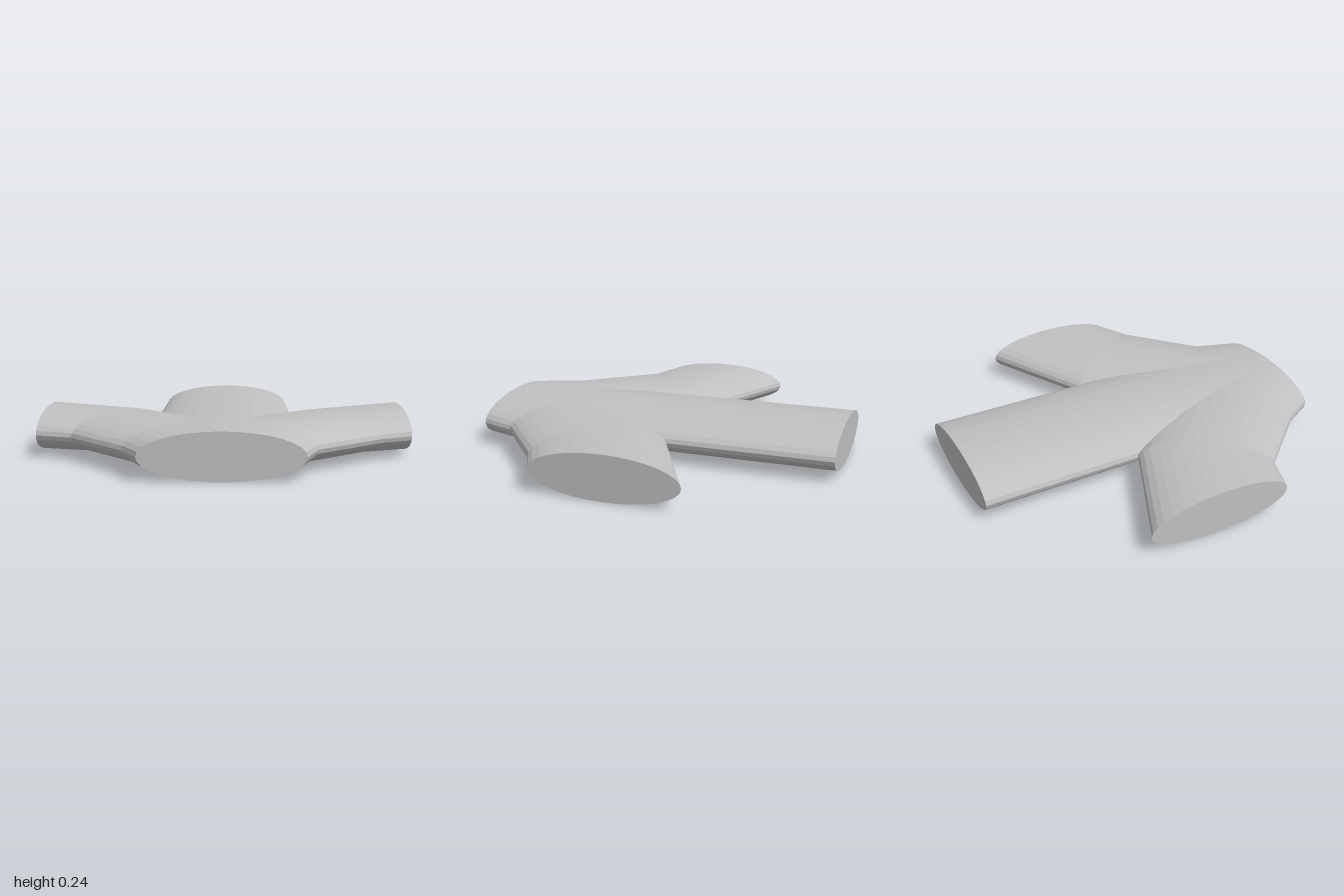
import * as THREE from 'three';

const SIDES = 32;
const MID_Y = 0.12;

// Lofts elliptical sections, each given as [outer x, outer z, inner x, inner z, half height], and caps both ends
function loft(sections) {
  const pos = [];
  const push = (...points) => points.forEach((p) => pos.push(p.x, p.y, p.z));
  const rings = sections.map(([ox, oz, ix, iz, h]) => {
    const centre = new THREE.Vector3((ox + ix) / 2, MID_Y, (oz + iz) / 2);
    const axis = new THREE.Vector3((ox - ix) / 2, 0, (oz - iz) / 2);
    const points = [];
    for (let j = 0; j <= SIDES; j++) {
      const a = (j / SIDES) * Math.PI * 2;
      const p = centre.clone().addScaledVector(axis, Math.cos(a));
      p.y += h * Math.sin(a);
      points.push(p);
    }
    return { centre, points };
  });
  const first = rings[0];
  const last = rings[rings.length - 1];
  for (let j = 0; j < SIDES; j++) {
    for (let i = 0; i < rings.length - 1; i++) {
      const a = rings[i].points, b = rings[i + 1].points;
      push(a[j], a[j + 1], b[j + 1], a[j], b[j + 1], b[j]);
    }
    push(first.centre, first.points[j + 1], first.points[j]);
    push(last.centre, last.points[j], last.points[j + 1]);
  }
  const geometry = new THREE.BufferGeometry();
  geometry.setAttribute('position', new THREE.Float32BufferAttribute(pos, 3));
  geometry.computeVertexNormals(); // unshared corners give flat facets
  return geometry;
}

export function createModel() {
  const group = new THREE.Group();
  const grey = new THREE.MeshStandardMaterial({ color: 0xc0c0c0 });
  grey.name = 'plain grey';

  const add = (name, geometry) => {
    const mesh = new THREE.Mesh(geometry, grey);
    mesh.name = name;
    group.add(mesh);
    return mesh;
  };

  // Straight pipe from back to front
  add('mainPipe', loft([
    [0.4, -1, -0.4, -1, 0.12],
    [0.4, 1, -0.4, 1, 0.12],
  ]));

  // Bend from the side opening round to the front opening
  const bend = loft([
    [1, 0.4, 1, -0.4, 0.12],
    [0.83, 0.49, 0.39, -0.1, 0.112],
    [0.47, 0.8, -0.13, 0.39, 0.112],
    [0.4, 1, -0.4, 1, 0.12],
  ]);
  add('leftBranch', bend);

  // The other bend is the same piece turned a quarter
  add('rightBranch', bend).rotation.y = -Math.PI / 2;

  return group;
}
